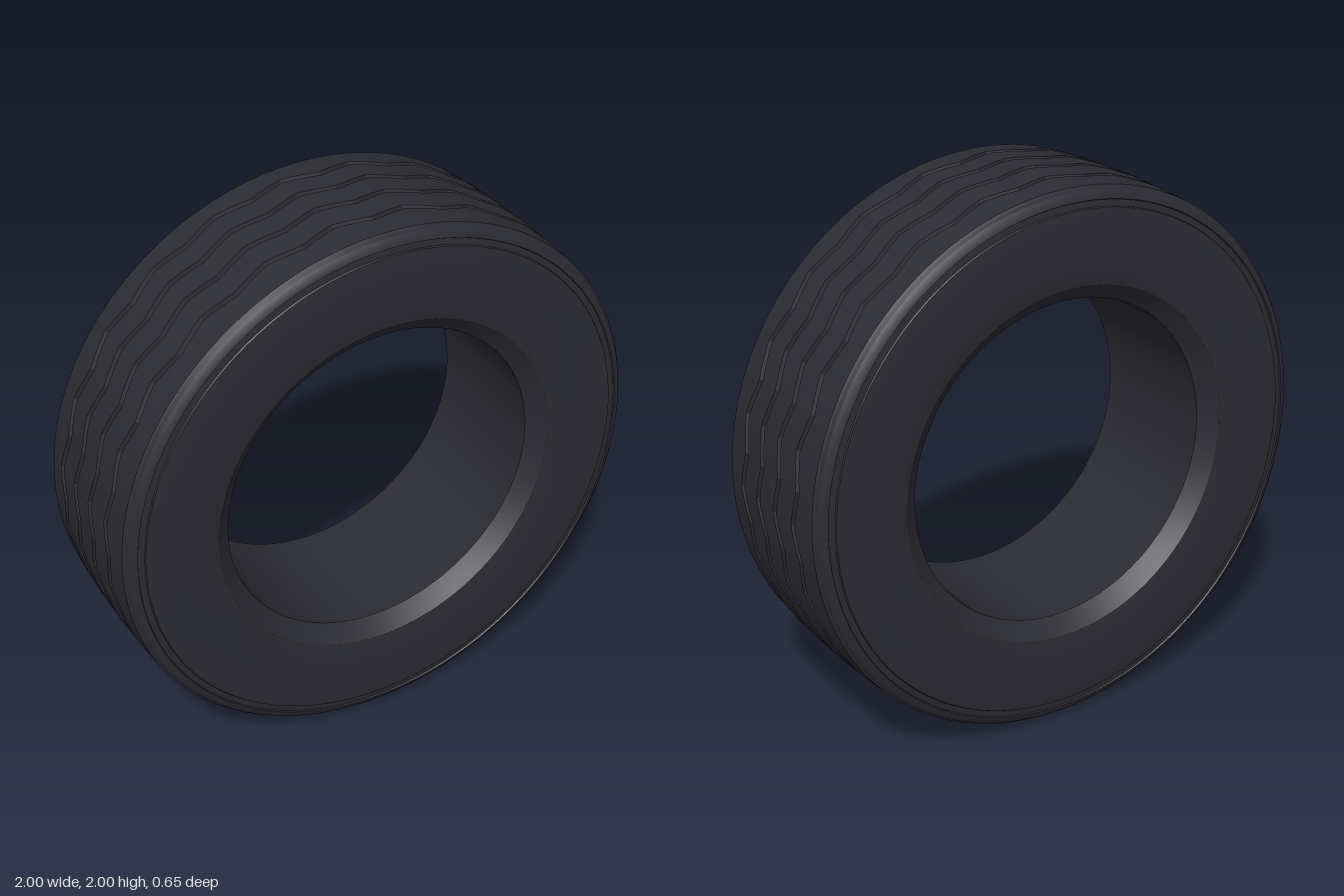
import * as THREE from 'three';
import { toCreasedNormals } from 'three/addons/utils/BufferGeometryUtils.js';

const WAVES = 24;             // zigzags around the tread
const SEGMENTS = WAVES * 8;

// Revolves a strip of [radius, z] points around the z axis.
// An optional third value marks points that follow the zigzag.
function ring(name, points, material, crease = 0.3) {
  const positions = [], indices = [], n = points.length;
  for (let i = 0; i < SEGMENTS; i++) {
    const a = (i / SEGMENTS) * Math.PI * 2;
    const phase = (i % 8) / 8;
    const zigzag = (Math.abs(phase - 0.5) * 4 - 1) * 0.015;
    for (const [r, z, follow = 0] of points) {
      positions.push(Math.cos(a) * r, Math.sin(a) * r, z + zigzag * follow);
    }
  }
  for (let i = 0; i < SEGMENTS; i++) {
    const next = (i + 1) % SEGMENTS;
    for (let j = 0; j < n - 1; j++) {
      const a = i * n + j, b = next * n + j;
      indices.push(a, a + 1, b, b, a + 1, b + 1);
    }
  }
  const geometry = new THREE.BufferGeometry();
  geometry.setAttribute('position', new THREE.Float32BufferAttribute(positions, 3));
  geometry.setIndex(indices);
  const mesh = new THREE.Mesh(toCreasedNormals(geometry, crease), material);
  mesh.name = name;
  return mesh;
}

export function createModel() {
  const tire = new THREE.Group();
  tire.name = 'tire';
  const rubber = new THREE.MeshStandardMaterial({ color: 0x2b2b33 });
  rubber.name = 'dark rubber';

  // Gently crowned tread with four zigzag grooves, from front to back
  const crown = (z) => 1 - 0.14 * z * z;
  const tread = [[crown(0.28), 0.28]];
  for (const z of [0.175, 0.058, -0.058, -0.175]) {
    tread.push(
      [crown(z), z + 0.011, 1], [0.975, z + 0.005, 1],
      [0.975, z - 0.005, 1], [crown(z), z - 0.011, 1],
    );
  }
  tread.push([crown(0.28), -0.28]);
  tire.add(ring('tread', tread, rubber));

  // Bead, sidewall and shoulder on each side
  const sideProfile = [
    [0.595, 0.26], [0.65, 0.308], [0.655, 0.313],
    [0.70, 0.321], [0.76, 0.325], [0.82, 0.325], [0.88, 0.321],
    [0.92, 0.316], [0.923, 0.311], [0.945, 0.308], [0.948, 0.313],
    [0.962, 0.308], [0.977, 0.297], [0.983, 0.284], [crown(0.28), 0.28],
  ];
  tire.add(ring('frontSidewall', sideProfile, rubber));
  const back = sideProfile.map(([r, z]) => [r, -z]).reverse();
  tire.add(ring('backSidewall', back, rubber));

  // Inner bore
  tire.add(ring('bore', [[0.595, -0.26], [0.595, 0.26]], rubber));

  tire.position.y = 1;
  const model = new THREE.Group();
  model.name = 'wheelTire';
  model.add(tire);
  return model;
}
